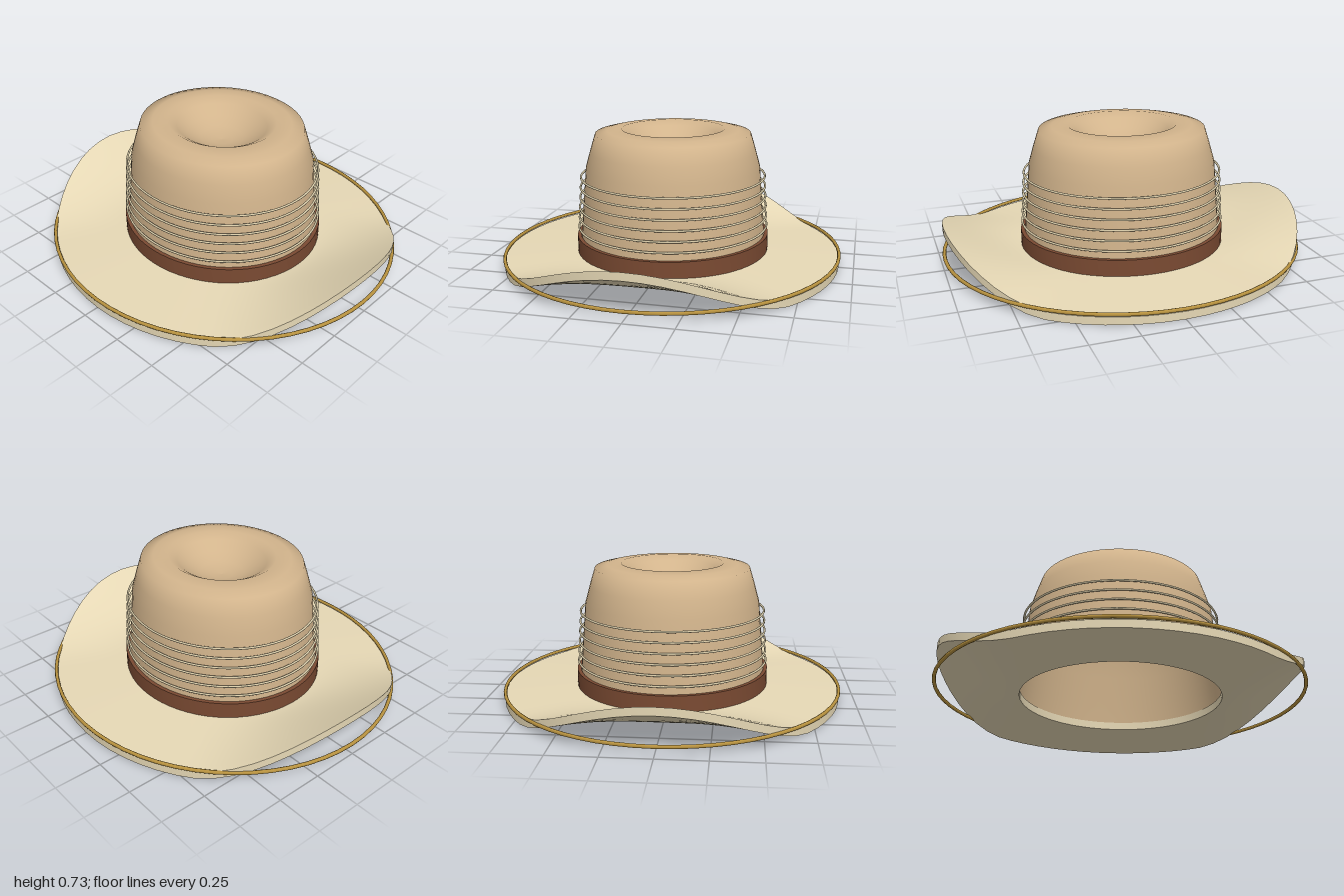
import * as THREE from 'three';
import { toCreasedNormals } from 'three/addons/utils/BufferGeometryUtils.js';

const DEPTH = 0.93; // the whole hat is an ellipse, shallower in z
const SEGMENTS = 64;
const R_IN = 0.545, R_OUT = 0.99;

const paint = (color) => new THREE.MeshStandardMaterial({ color, side: THREE.DoubleSide });

function addPart(group, name, geometry, material) {
  const mesh = new THREE.Mesh(geometry, material);
  mesh.name = name;
  group.add(mesh);
  return mesh;
}

function lathe(points) {
  return new THREE.LatheGeometry(points.map(([r, y]) => new THREE.Vector2(r, y)), SEGMENTS);
}

// Flat lying hoop of the given radius
function hoop(radius, tube, y) {
  return new THREE.TorusGeometry(radius, tube, 8, SEGMENTS).rotateX(Math.PI / 2).translate(0, y, 0);
}

// Closed ring section, swept round, then curled up towards both sides
function brimGeometry() {
  const steps = 10, bottom = [], top = [];
  for (let i = 0; i <= steps; i++) {
    const t = i / steps, r = THREE.MathUtils.lerp(R_IN, R_OUT, t);
    const drop = 0.02 * (1 - t);
    bottom.push([r, drop]);
    top.unshift([r, 0.042 + drop]);
  }
  const geometry = lathe([...bottom, ...top, bottom[0]]);
  const p = geometry.attributes.position;
  for (let i = 0; i < p.count; i++) {
    const x = p.getX(i), r = Math.hypot(x, p.getZ(i));
    const t = Math.max(0, (r - R_IN) / (R_OUT - R_IN));
    const side = Math.max(0, (Math.abs(x) / r - 0.6) / 0.4);
    p.setY(i, p.getY(i) + 0.2 * side ** 2 * t ** 1.35);
  }
  return toCreasedNormals(geometry, 0.8);
}

export function createModel() {
  const hat = new THREE.Group();
  hat.name = 'hat';
  hat.scale.z = DEPTH;

  addPart(hat, 'brim', brimGeometry(), paint(0xe6d8b5));

  // Tapered crown with a dished top
  addPart(hat, 'crown', lathe([
    [0.552, 0.04], [0.545, 0.15], [0.528, 0.34], [0.512, 0.52], [0.485, 0.612], [0.455, 0.705],
    [0.385, 0.721], [0.3, 0.728], [0.25, 0.7], [0.19, 0.655], [0.12, 0.625], [0.06, 0.612], [0, 0.608],
  ]), paint(0xd2b48c));

  // Leather band round the foot of the crown
  addPart(hat, 'band', toCreasedNormals(lathe([
    [0.553, 0.055], [0.568, 0.055], [0.568, 0.15], [0.547, 0.15],
  ]), 0.8), paint(0x7a4a32));

  // Thin cords stacked up the crown
  const cordPaint = paint(0xd8cba8);
  for (let i = 0; i < 6; i++) {
    addPart(hat, `cord${i + 1}`, hoop(0.559 - i * 0.0035, 0.006, 0.195 + i * 0.055), cordPaint);
  }

  // Level gilt wire that follows the brim outline
  addPart(hat, 'edgeWire', hoop(0.99, 0.01, 0.055), paint(0xb8923f));
  return hat;
}
